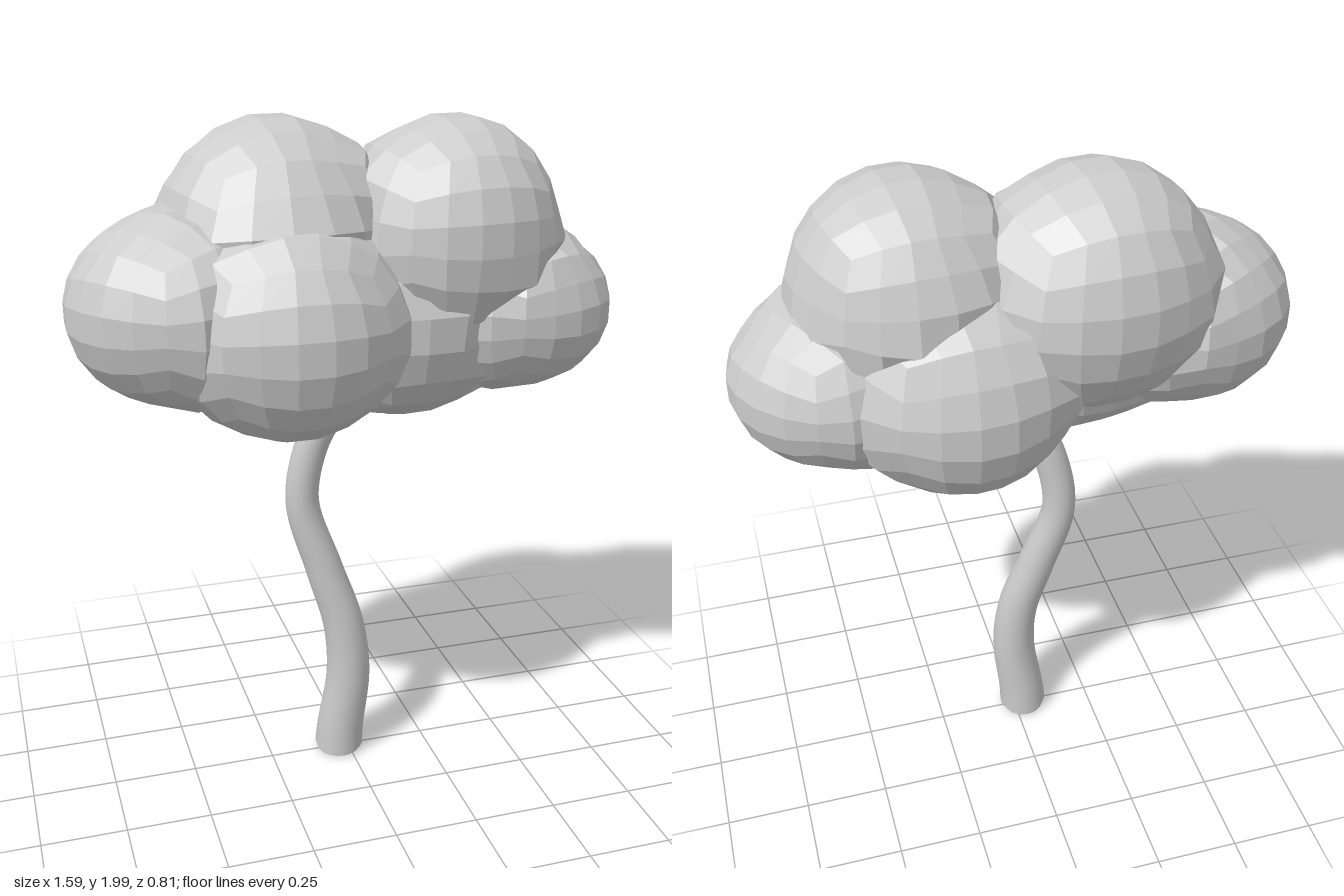
import * as THREE from 'three';

const material = new THREE.MeshStandardMaterial({ color: 0xcccccc });
const BLEND = 0.13; // reach of the soft fillet between neighbouring lobes

// Crown of six overlapping lobes
const lobes = [
  { name: 'rightEndLobe', centre: [-0.51, 1.495, 0], radii: [0.29, 0.265, 0.285], turn: 0.6 },
  { name: 'upperRightLobe', centre: [-0.195, 1.665, -0.08], radii: [0.33, 0.335, 0.3], turn: 0.1 },
  { name: 'frontRightLobe', centre: [-0.2, 1.435, 0.11], radii: [0.32, 0.31, 0.3], turn: 0 },
  { name: 'leftEndLobe', centre: [0.51, 1.435, 0.01], radii: [0.285, 0.24, 0.28], turn: 0.5 },
  { name: 'upperLeftLobe', centre: [0.3, 1.69, 0.015], radii: [0.305, 0.305, 0.295], turn: 0.1 },
  { name: 'backLeftLobe', centre: [0.18, 1.425, -0.085], radii: [0.33, 0.32, 0.33], turn: 0.1 },
];

// Approximate distance from a point to a lobe's surface
function lobeDistance(p, { centre, radii }) {
  const q = p.clone().sub(new THREE.Vector3(...centre)).divide(new THREE.Vector3(...radii));
  return ((q.length() - 1) * (radii[0] + radii[1] + radii[2])) / 3;
}

// One shared normal per square facet (two triangles), so facets stay whole
function facet(indexed) {
  const geometry = indexed.toNonIndexed();
  geometry.computeVertexNormals();
  const normal = geometry.attributes.normal;
  const a = new THREE.Vector3(), b = new THREE.Vector3();
  for (let i = 0; i < normal.count; i += 6) {
    a.fromBufferAttribute(normal, i);
    b.fromBufferAttribute(normal, i + 3);
    a.add(b).normalize();
    for (let k = i; k < i + 6; k++) normal.setXYZ(k, a.x, a.y, a.z);
  }
  return geometry;
}

// Ball of near-even square facets, slightly swollen where it meets its neighbours
function makeLobe(lobe) {
  const geometry = new THREE.BoxGeometry(2, 2, 2, 5, 5, 5);
  const pos = geometry.attributes.position;
  const centre = new THREE.Vector3(...lobe.centre);
  const radii = new THREE.Vector3(...lobe.radii);
  const up = new THREE.Vector3(0, 1, 0);
  const even = (t) => Math.tan((t * Math.PI) / 4);
  for (let i = 0; i < pos.count; i++) {
    const dir = new THREE.Vector3(even(pos.getX(i)), even(pos.getY(i)), even(pos.getZ(i)));
    dir.normalize().applyAxisAngle(up, lobe.turn);
    const p = dir.clone().multiply(radii).add(centre);
    let swell = 0;
    for (const other of lobes) {
      if (other === lobe) continue;
      const h = Math.max(0, 1 - Math.abs(lobeDistance(p, other)) / BLEND);
      swell = Math.max(swell, (h * h * BLEND) / 4);
    }
    p.addScaledVector(dir, swell);
    pos.setXYZ(i, p.x, p.y, p.z);
  }
  const mesh = new THREE.Mesh(facet(geometry), material);
  mesh.name = lobe.name;
  return mesh;
}

// Winding trunk: a tube whose rings are scaled to taper, rounded in at the foot
function makeTrunk() {
  const curve = new THREE.CatmullRomCurve3([
    [-0.03, 0, 0], [-0.025, 0.08, 0.003], [-0.002, 0.28, 0.014], [-0.016, 0.45, 0.01],
    [-0.072, 0.64, -0.008], [-0.134, 0.86, -0.025],
    [-0.112, 1.03, -0.014], [-0.07, 1.13, 0], [0.01, 1.23, 0.01],
  ].map((p) => new THREE.Vector3(...p)));
  const rings = 64, sides = 24;
  const geometry = new THREE.TubeGeometry(curve, rings, 1, sides);
  const pos = geometry.attributes.position;
  const v = new THREE.Vector3();
  for (let i = 0; i <= rings; i++) {
    const t = i / rings;
    const centre = curve.getPointAt(t);
    let radius = 0.076 - 0.026 * Math.min(1, t / 0.7);
    if (i === 0) radius -= 0.01;
    for (let j = 0; j <= sides; j++) {
      const k = i * (sides + 1) + j;
      v.fromBufferAttribute(pos, k).sub(centre).multiplyScalar(radius).add(centre);
      if (i === 0) v.y = 0;
      pos.setXYZ(k, v.x, v.y, v.z);
    }
  }
  const trunk = new THREE.Group();
  trunk.name = 'trunk';
  const stem = new THREE.Mesh(geometry, material);
  stem.name = 'stem';
  // Flat underside
  const foot = new THREE.Mesh(new THREE.CircleGeometry(0.066, sides), material);
  foot.name = 'foot';
  foot.rotation.x = Math.PI / 2;
  foot.position.set(-0.03, 0, 0);
  trunk.add(stem, foot);
  return trunk;
}

export function createModel() {
  const model = new THREE.Group();
  model.name = 'tree';
  const crown = new THREE.Group();
  crown.name = 'crown';
  for (const lobe of lobes) crown.add(makeLobe(lobe));
  model.add(makeTrunk(), crown);
  return model;
}
